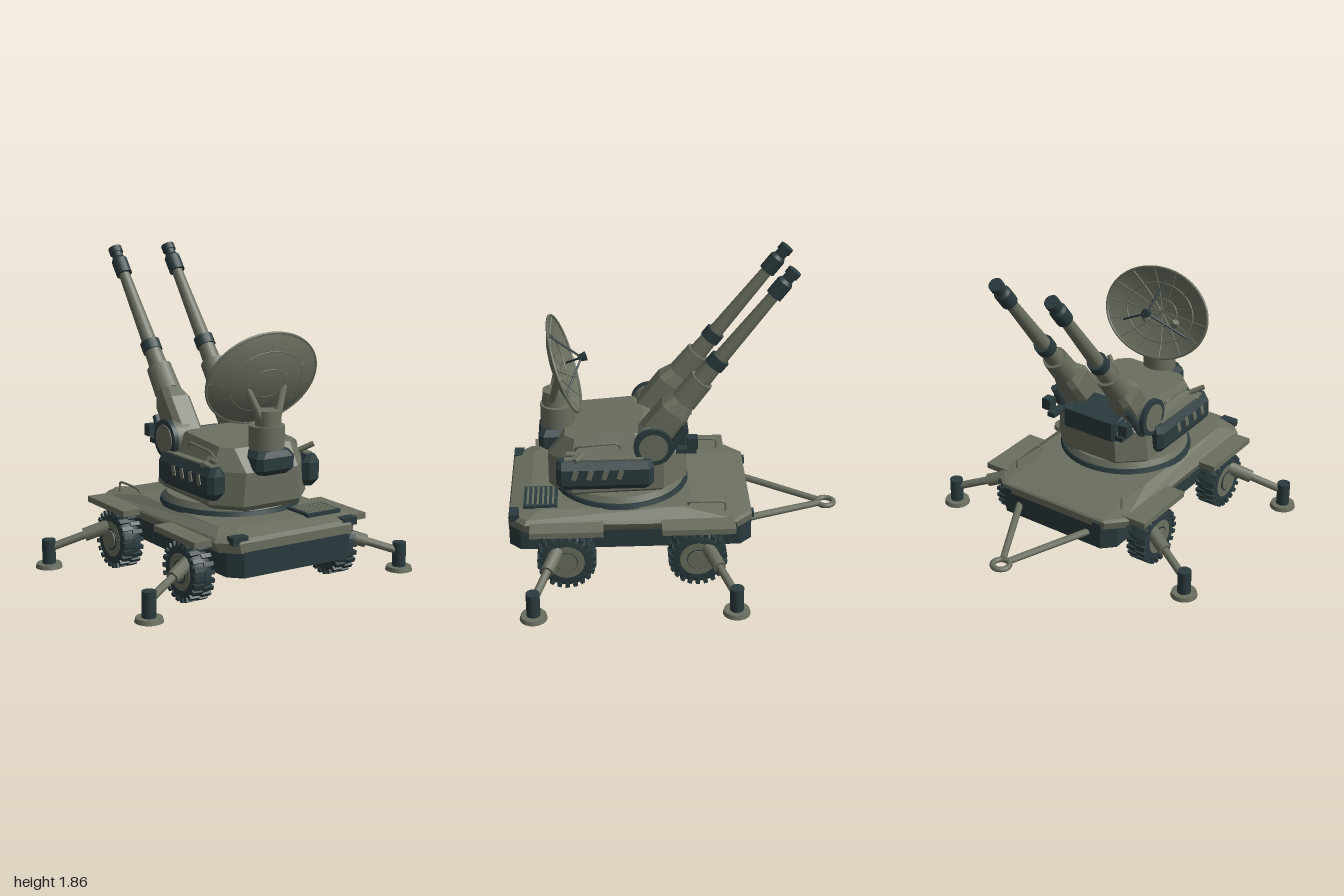
import * as THREE from 'three';

const olive = new THREE.MeshStandardMaterial({ color: 0x6a6f60 });
olive.name = 'olive paint';
const dark = new THREE.MeshStandardMaterial({ color: 0x2b3b3e });
dark.name = 'dark slate';
const dishPaint = new THREE.MeshStandardMaterial({ color: 0x6a6f60, side: THREE.DoubleSide });
dishPaint.name = 'olive dish';

const V = (x, y, z) => new THREE.Vector3(x, y, z);

function add(parent, name, geo, mat, x = 0, y = 0, z = 0) {
  const m = new THREE.Mesh(geo, mat);
  m.name = name;
  m.position.set(x, y, z);
  parent.add(m);
  return m;
}
const box = (p, name, mat, w, h, d, x, y, z) => add(p, name, new THREE.BoxGeometry(w, h, d), mat, x, y, z);
const cyl = (p, name, mat, r1, r2, h, x, y, z, n = 24) =>
  add(p, name, new THREE.CylinderGeometry(r1, r2, h, n), mat, x, y, z);

// round bar between two points
function beam(p, name, mat, a, b, ra, rb = ra, n = 10) {
  const d = b.clone().sub(a);
  const m = cyl(p, name, mat, rb, ra, d.length(), 0, 0, 0, n);
  m.position.copy(a).addScaledVector(d, 0.5);
  m.quaternion.setFromUnitVectors(V(0, 1, 0), d.normalize());
  return m;
}
function tube(p, name, mat, pts, r, closed = false) {
  const c = new THREE.CatmullRomCurve3(pts, closed, 'catmullrom', 0.3);
  return add(p, name, new THREE.TubeGeometry(c, pts.length * 4, r, 6, closed), mat);
}

// chamfered rectangle seen from above; y may differ between front and back
function ring(y, hw, zf, zb, c, yb = y) {
  return [[hw, zb + c], [hw - c, zb], [c - hw, zb], [-hw, zb + c],
    [-hw, zf - c], [c - hw, zf], [hw - c, zf], [hw, zf - c]]
    .map(([x, z]) => V(x, yb + (y - yb) * (z - zb) / (zf - zb), z));
}
// flat-faced body stacked from rings, bottom to top
function loft(rings) {
  const pts = [], n = rings[0].length, top = rings[rings.length - 1], bot = rings[0];
  for (let k = 0; k + 1 < rings.length; k++) {
    const a = rings[k], b = rings[k + 1];
    for (let i = 0; i < n; i++) {
      const j = (i + 1) % n;
      pts.push(a[i], a[j], b[j], a[i], b[j], b[i]);
    }
  }
  for (let i = 1; i + 1 < n; i++) pts.push(top[0], top[i], top[i + 1], bot[0], bot[i + 1], bot[i]);
  const g = new THREE.BufferGeometry().setFromPoints(pts);
  g.computeVertexNormals();
  return g;
}

function makeWheel() {
  const g = new THREE.Group();
  g.name = 'wheel';
  // tyre, hub and tread; the axle runs along local y
  const prof = [[0.09, -0.055], [0.14, -0.062], [0.16, -0.045], [0.163, 0], [0.16, 0.045], [0.14, 0.062], [0.09, 0.055]];
  add(g, 'tyre', new THREE.LatheGeometry(prof.map(p => new THREE.Vector2(...p)), 32), dark);
  cyl(g, 'rim', olive, 0.106, 0.106, 0.118, 0, 0, 0, 28);
  cyl(g, 'hubFlange', dark, 0.065, 0.065, 0.124, 0, 0, 0, 20);
  cyl(g, 'hub', olive, 0.055, 0.06, 0.136, 0, 0, 0, 20);
  for (let i = 0; i < 44; i++) {
    const a = i / 44 * Math.PI * 2, s = i % 2 ? 1 : -1;
    const b = box(g, 'treadBlock', dark, 0.026, 0.062, 0.024, Math.cos(a) * 0.16, s * 0.032, Math.sin(a) * 0.16);
    b.rotation.y = -a;
  }
  g.rotation.z = Math.PI / 2;
  return g;
}

function makeChassis() {
  const g = new THREE.Group();
  g.name = 'chassis';
  add(g, 'hull', loft([ring(0.155, 0.36, 0.9, -0.37, 0.1), ring(0.19, 0.42, 1, -0.44, 0.07), ring(0.335, 0.42, 1, -0.44, 0.07)]), dark);
  add(g, 'deck', loft([ring(0.33, 0.46, 1, -0.44, 0.09), ring(0.385, 0.48, 1, -0.44, 0.1, 0.375),
    ring(0.41, 0.46, 0.99, -0.43, 0.1, 0.385), ring(0.44, 0.39, 0.87, -0.08, 0.06)]), olive);
  // slatted hatch on the front deck
  box(g, 'grilleFrame', dark, 0.23, 0.02, 0.2, 0.255, 0.445, 0.81);
  for (let i = 0; i < 6; i++) box(g, 'grilleSlat', olive, 0.2, 0.006, 0.012, 0.255, 0.457, 0.735 + i * 0.03);

  for (const s of [-1, 1]) {
    box(g, 'frontFender', olive, 0.16, 0.035, 0.43, s * 0.505, 0.376, 0.655);
    box(g, 'rearFender', olive, 0.16, 0.035, 0.43, s * 0.505, 0.376, -0.115);
    box(g, 'headlamp', dark, 0.1, 0.045, 0.06, s * 0.37, 0.4, 0.965);
    box(g, 'tailLamp', dark, 0.06, 0.03, 0.02, s * 0.33, 0.35, -0.445);
    tube(g, 'deckRail', olive, [V(s * 0.39, 0.4, -0.28), V(s * 0.39, 0.465, -0.27), V(s * 0.39, 0.467, -0.08), V(s * 0.37, 0.44, -0.06)], 0.007);
    for (const [wz, fz] of [[0.66, 0.85], [-0.11, -0.315]]) {
      const w = makeWheel();
      w.position.set(s * 0.492, 0.172, wz);
      g.add(w);
      // outrigger: telescopic arm, post and foot
      const a = V(s * 0.42, 0.28, wz + (fz - wz) * 0.05), b = V(s * 0.86, 0.115, fz);
      beam(g, 'outriggerSleeve', olive, a, a.clone().lerp(b, 0.56), 0.043, 0.04, 8);
      beam(g, 'outriggerArm', olive, a, b, 0.024, 0.024, 8);
      cyl(g, 'outriggerPost', dark, 0.04, 0.04, 0.15, s * 0.86, 0.095, fz);
      cyl(g, 'outriggerFoot', olive, 0.074, 0.08, 0.025, s * 0.86, 0.0125, fz);
    }
    beam(g, 'towBar', olive, V(s * 0.26, 0.27, -0.42), V(s * 0.02, 0.222, -0.89), 0.022, 0.02, 8);
  }
  const eye = add(g, 'towEye', new THREE.TorusGeometry(0.05, 0.017, 10, 28), olive, 0, 0.217, -0.935);
  eye.rotation.x = Math.PI / 2;
  return g;
}

function makeGun(s) {
  const g = new THREE.Group();
  g.name = 'gun';
  add(g, 'cradle', loft([ring(-0.1, 0.06, 0.06, -0.06, 0.02), ring(-0.05, 0.085, 0.1, -0.09, 0.03),
    ring(0.22, 0.085, 0.1, -0.08, 0.03), ring(0.32, 0.06, 0.065, -0.06, 0.03)]), olive);
  cyl(g, 'recoilSleeve', olive, 0.074, 0.08, 0.17, 0, 0.385, 0, 12);
  cyl(g, 'barrelRoot', olive, 0.05, 0.056, 0.14, 0, 0.53, 0);
  cyl(g, 'barrelBand', dark, 0.06, 0.06, 0.065, 0, 0.61, 0, 16);
  cyl(g, 'barrel', olive, 0.033, 0.045, 0.53, 0, 0.89, 0);
  cyl(g, 'muzzleBrake', dark, 0.049, 0.049, 0.1, 0, 1.175, 0, 16);
  cyl(g, 'muzzleCone', dark, 0.036, 0.049, 0.02, 0, 1.235, 0, 16);
  cyl(g, 'muzzleNeck', dark, 0.034, 0.034, 0.04, 0, 1.26, 0, 16);
  cyl(g, 'muzzleTip', dark, 0.042, 0.042, 0.04, 0, 1.295, 0, 16);
  // trunnion drum on the outer side
  const drum = [['trunnion', olive, 0.105, 0.12, 0.07], ['trunnionRim', dark, 0.115, 0.03, 0.125], ['trunnionCap', olive, 0.085, 0.036, 0.127]];
  for (const [name, mat, r, h, x] of drum) cyl(g, name, mat, r, r, h, s * x, 0, 0, 28).rotation.z = Math.PI / 2;
  g.position.set(s * 0.19, 0.8, 0.14);
  g.rotation.x = -0.662;
  return g;
}

function makeRadar() {
  const g = new THREE.Group();
  g.name = 'radar';
  add(g, 'mountBox', loft([ring(0.68, 0.1, 0.79, 0.63, 0.03), ring(0.71, 0.128, 0.815, 0.62, 0.03),
    ring(0.78, 0.128, 0.815, 0.62, 0.03), ring(0.815, 0.1, 0.8, 0.63, 0.03)]), dark);
  cyl(g, 'mast', olive, 0.102, 0.102, 0.135, 0, 0.88, 0.7, 28);
  cyl(g, 'mastHead', olive, 0.07, 0.075, 0.09, 0, 0.99, 0.715, 24);
  for (const s of [-1, 1]) beam(g, 'dishArm', olive, V(s * 0.045, 0.97, 0.73), V(s * 0.125, 1.16, 0.685), 0.024, 0.022, 8);

  // shallow elliptical dish, hollow side to the rear
  const dish = new THREE.Group();
  dish.name = 'dish';
  dish.position.set(0, 1.203, 0.652);
  dish.rotation.x = -1.238;
  const P = (r, a) => V(0.37 * r * Math.cos(a), 0.07 * (r * r - 1) + 0.003, 0.283 * r * Math.sin(a));
  const prof = [];
  for (let i = 0; i <= 12; i++) prof.push(new THREE.Vector2(i / 12, 0.07 * ((i / 12) ** 2 - 1)));
  add(dish, 'reflector', new THREE.LatheGeometry(prof, 48).scale(0.37, 1, 0.283), dishPaint);
  for (const r of [0.3, 0.65, 0.99]) {
    const loop = Array.from({ length: 32 }, (_, i) => P(r, i / 16 * Math.PI));
    tube(dish, 'dishRing', olive, loop, r > 0.9 ? 0.008 : 0.005, true);
  }
  for (let i = 0; i < 14; i++) tube(dish, 'dishRib', olive, [0.05, 0.35, 0.7, 0.99].map(r => P(r, i / 7 * Math.PI)), 0.004);
  for (let i = 0; i < 3; i++) beam(dish, 'feedStrut', dark, P(0.74, Math.PI * (0.5 + i * 2 / 3)), V(0, 0.11, 0), 0.007, 0.007, 6);
  cyl(dish, 'feedHorn', dark, 0.028, 0.02, 0.045, 0, 0.115, 0, 12);
  g.add(dish);
  return g;
}

function makeTurret() {
  const g = new THREE.Group();
  g.name = 'turret';
  cyl(g, 'turretRing', dark, 0.4, 0.41, 0.03, 0, 0.45, 0.33, 48);
  cyl(g, 'turretCollar', olive, 0.37, 0.39, 0.04, 0, 0.48, 0.33, 48);
  add(g, 'body', loft([ring(0.48, 0.3, 0.74, -0.03, 0.13, 0.51), ring(0.51, 0.335, 0.76, -0.06, 0.14, 0.54),
    ring(0.7, 0.315, 0.76, -0.06, 0.14, 0.73), ring(0.825, 0.25, 0.66, 0.19, 0.06, 0.86)]), olive);
  // dark trough between the guns
  add(g, 'gunTrough', loft([ring(0.68, 0.19, 0.24, -0.075, 0.02), ring(0.8, 0.19, 0.24, -0.075, 0.02), ring(0.85, 0.15, 0.21, -0.06, 0.02, 0.79)]), dark);

  for (const s of [-1, 1]) {
    // ammunition pod with slanted vents
    const pod = new THREE.Group();
    pod.name = 'sidePod';
    pod.position.x = s * 0.325;
    add(pod, 'podShell', loft([ring(0.55, 0.03, 0.68, 0.17, 0.02), ring(0.59, 0.06, 0.71, 0.14, 0.03),
      ring(0.69, 0.06, 0.71, 0.14, 0.03), ring(0.735, 0.03, 0.7, 0.15, 0.02)]), dark);
    for (let i = 0; i < 4; i++) box(pod, 'podVent', olive, 0.008, 0.06, 0.03, s * 0.062, 0.66, 0.6 - i * 0.088).rotation.x = -0.3;
    box(pod, 'podLid', olive, 0.05, 0.012, 0.46, 0, 0.737, 0.43);
    g.add(pod);

    for (let i = 0; i < 2; i++) {
      const z = 0.6 - i * 0.06;
      beam(g, 'launcherTube', olive, V(s * 0.27, 0.74, z), V(s * 0.36, 0.79 - i * 0.05, z + 0.06), 0.016, 0.016, 10);
    }
    tube(g, 'handRail', olive, [V(s * 0.28, 0.77, 0.6), V(s * 0.29, 0.8, 0.57), V(s * 0.29, 0.815, 0.36), V(s * 0.28, 0.78, 0.33)], 0.008);
    // elevation strut and rear sight box
    beam(g, 'elevationStrut', dark, V(s * 0.29, 0.63, 0.13), V(s * 0.27, 0.9, -0.05), 0.032, 0.022, 6);
    box(g, 'rearBracket', dark, 0.05, 0.03, 0.12, s * 0.25, 0.745, -0.055);
    box(g, 'rearSight', dark, 0.06, 0.07, 0.06, s * 0.28, 0.81, -0.09);
    g.add(makeGun(s));
  }
  g.add(makeRadar());
  return g;
}

export function createModel() {
  const model = new THREE.Group();
  model.name = 'towedTwinGun';
  model.add(makeChassis(), makeTurret());
  return model;
}
